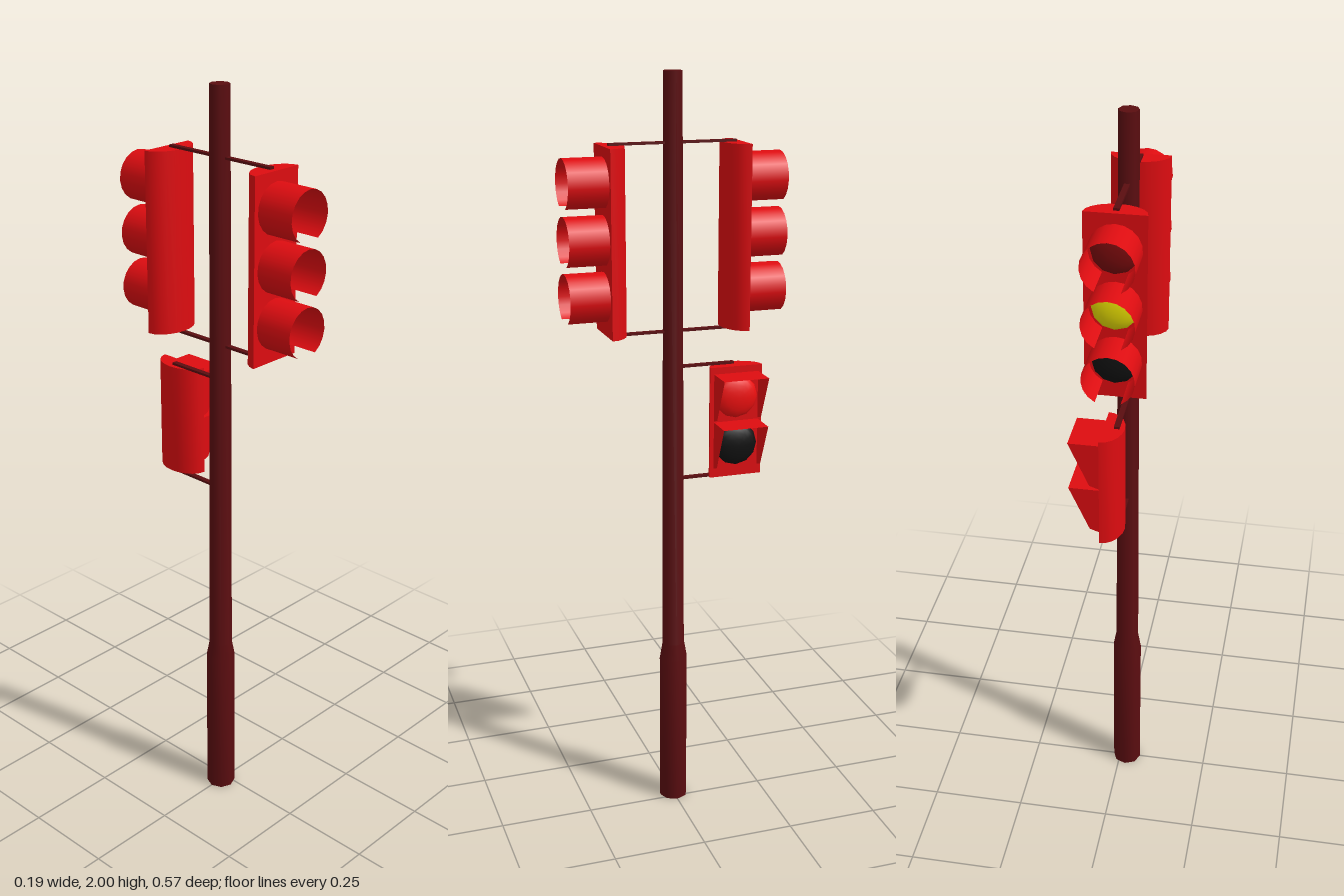
import * as THREE from 'three';
import { toCreasedNormals } from 'three/addons/utils/BufferGeometryUtils.js';

const paint = (color, side = THREE.FrontSide) => new THREE.MeshStandardMaterial({ color, side });
const POLE_X = -0.02;

const poleMat = paint(0x5a0d10);
const redMat = paint(0xdd0c10);
const hoodMat = paint(0xdd0c10, THREE.DoubleSide);
const lensMats = {
  dim: paint(0x7a0a0c),
  amber: paint(0xe6dc00),
  off: paint(0x111111),
  lit: paint(0xee1010),
};

function add(parent, name, geometry, material, x = 0, y = 0, z = 0) {
  const mesh = new THREE.Mesh(geometry, material);
  mesh.name = name;
  mesh.position.set(x, y, z);
  parent.add(mesh);
  return mesh;
}

// Flat-fronted, round-backed case: front at z = 0, bottom at y = 0
function housing(halfWidth, depth, height) {
  const steps = 10;
  const shape = new THREE.Shape();
  shape.moveTo(halfWidth, 0);
  for (let i = 1; i <= steps; i++) {
    const a = (i / steps) * Math.PI;
    shape.lineTo(halfWidth * Math.cos(a), depth * Math.sin(a));
  }
  shape.closePath();
  const geo = new THREE.ExtrudeGeometry(shape, { depth: height, bevelEnabled: false });
  geo.rotateX(-Math.PI / 2);
  return toCreasedNormals(geo, 0.7);
}

// Shallow dome facing +z
function lens(radius) {
  const geo = new THREE.SphereGeometry(radius, 12, 5, 0, Math.PI * 2, 0, Math.PI / 2);
  geo.rotateX(Math.PI / 2);
  return geo.scale(1, 1, 0.4);
}

// Round visor, open along the bottom
function roundVisor(radius, length) {
  const gap = 0.5;
  const geo = new THREE.CylinderGeometry(radius, radius, length, 16, 1, true, gap, Math.PI * 2 - gap * 2);
  geo.rotateX(Math.PI / 2);
  return geo.translate(0, 0, length / 2);
}

// Square hood: flat roof and two tapering cheeks, top edge at y = 0
function squareHood(width, length, drop) {
  const hood = new THREE.Group();
  const cheek = new THREE.Shape([
    new THREE.Vector2(0, 0),
    new THREE.Vector2(0, -drop),
    new THREE.Vector2(length * 0.33, -drop * 0.93),
    new THREE.Vector2(length, 0),
  ]);
  const cheekGeo = new THREE.ShapeGeometry(cheek).rotateY(-Math.PI / 2);
  for (const s of [-1, 1]) add(hood, 'hoodCheek', cheekGeo, hoodMat, s * width / 2);
  const roof = new THREE.PlaneGeometry(width, length).rotateX(-Math.PI / 2);
  add(hood, 'hoodRoof', roof, hoodMat, 0, 0, length / 2);
  return hood;
}

// Three-light head for vehicles
function vehicleHead() {
  const head = new THREE.Group();
  add(head, 'vehicleHousing', housing(0.075, 0.054, 0.47), redMat, 0, 1.355);
  ['off', 'amber', 'dim'].forEach((state, i) => {
    const y = 1.452 + i * 0.142;
    add(head, 'vehicleLens', lens(0.058), lensMats[state], 0, y, 0.001);
    add(head, 'vehicleVisor', roundVisor(0.064, 0.103), hoodMat, 0, y);
  });
  return head;
}

// Two-light head for walkers
function walkerHead() {
  const head = new THREE.Group();
  add(head, 'walkerHousing', housing(0.072, 0.053, 0.3), redMat, 0, 0.953);
  ['off', 'lit'].forEach((state, i) => {
    const y = 1.042 + i * 0.13;
    add(head, 'walkerLens', lens(0.058), lensMats[state], 0, y, 0.001);
    const hood = squareHood(0.122, 0.079, 0.127);
    hood.name = 'walkerHood';
    hood.position.y = y + 0.063;
    head.add(hood);
  });
  return head;
}

export function createModel() {
  const model = new THREE.Group();
  model.name = 'trafficLight';

  // Stepped eight-sided pole
  const profile = [[0, 0], [0.039, 0], [0.039, 0.43], [0.031, 0.475], [0.025, 2], [0, 2]]
    .map(([r, y]) => new THREE.Vector2(r, y));
  add(model, 'pole', toCreasedNormals(new THREE.LatheGeometry(profile, 8), 0.9), poleMat, POLE_X);

  // Vehicle heads, facing front and back
  for (const s of [1, -1]) {
    const head = vehicleHead();
    head.name = s > 0 ? 'frontHead' : 'backHead';
    head.position.set(POLE_X, 0, s * 0.182);
    head.rotation.y = s > 0 ? 0 : Math.PI;
    model.add(head);
  }

  // Walker head, facing the left side
  const walker = walkerHead();
  walker.name = 'walkerHead';
  walker.position.set(0.013, 0, -0.163);
  walker.rotation.y = Math.PI / 2;
  model.add(walker);

  // Thin bracket arms from the pole to the heads
  const armGeo = new THREE.BoxGeometry(0.014, 0.006, 0.155);
  const arm = (y, s) => add(model, 'bracketArm', armGeo, poleMat, POLE_X, y, s * 0.089);
  for (const y of [1.828, 1.352]) for (const s of [1, -1]) arm(y, s);
  for (const y of [1.256, 0.95]) arm(y, -1);

  return model;
}
